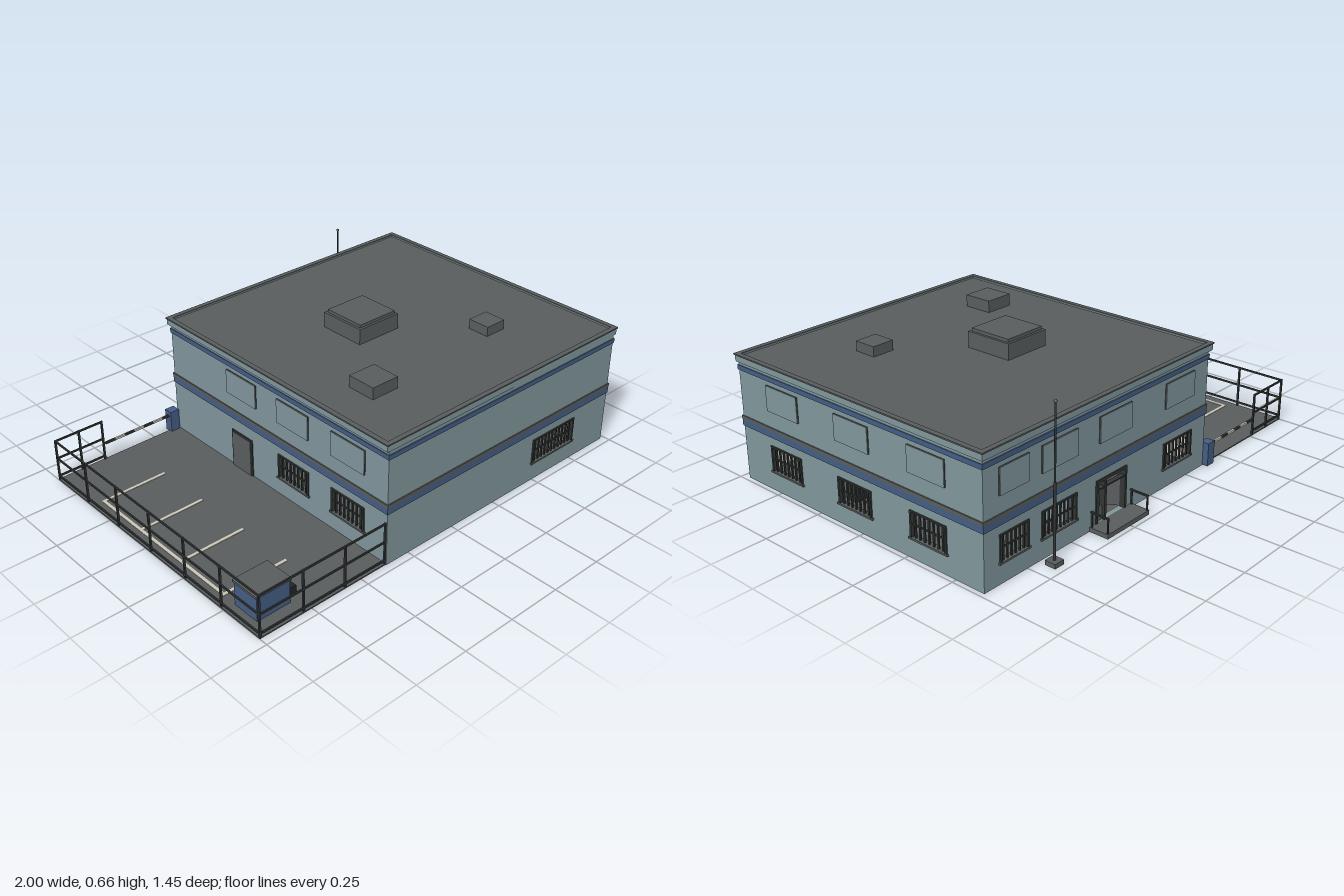
import * as THREE from 'three';

const mat = (name, color) => {
  const m = new THREE.MeshStandardMaterial({ color });
  m.name = name;
  return m;
};
const teal = mat('wall teal', 0x80969b);
const blue = mat('trim blue', 0x445d83);
const grey = mat('roof grey', 0x595d5d);
const dark = mat('metal dark', 0x343737);
const black = mat('bin black', 0x232425);
const cream = mat('paint cream', 0xcbc6b7);

// Box given by its minimum and maximum corners
function box(parent, name, m, x0, x1, y0, y1, z0, z1) {
  const mesh = new THREE.Mesh(new THREE.BoxGeometry(x1 - x0, y1 - y0, z1 - z0), m);
  mesh.position.set((x0 + x1) / 2, (y0 + y1) / 2, (z0 + z1) / 2);
  mesh.name = name;
  parent.add(mesh);
  return mesh;
}

function cylinder(parent, name, m, r, h, x, y, z) {
  const mesh = new THREE.Mesh(new THREE.CylinderGeometry(r, r, h, 10), m);
  mesh.position.set(x, y, z);
  mesh.name = name;
  parent.add(mesh);
  return mesh;
}

function group(parent, name) {
  const g = new THREE.Group();
  g.name = name;
  parent.add(g);
  return g;
}

// Upright plate with rectangular openings [u0, u1, y0, y1]
function pierced(parent, name, m, len, y0, y1, holes, depth, z) {
  const rect = (P, a, b, c, d) =>
    new P([[a, c], [b, c], [b, d], [a, d]].map(p => new THREE.Vector2(...p)));
  const shape = rect(THREE.Shape, -len / 2, len / 2, y0, y1);
  shape.holes = holes.map(h => rect(THREE.Path, ...h));
  const mesh = new THREE.Mesh(new THREE.ExtrudeGeometry(shape, { depth, bevelEnabled: false }), m);
  mesh.position.z = z;
  mesh.name = name;
  parent.add(mesh);
}

// Barred window on a wall whose outer face is z = 0
function barredWindow(parent, u0, u1) {
  const g = group(parent, 'barredWindow');
  const f = 0.009, y0 = 0.085, y1 = 0.205;
  for (const u of [u0, u1 - f]) box(g, 'windowJamb', dark, u, u + f, y0, y1, -0.02, 0.006);
  box(g, 'windowHead', dark, u0, u1, y1 - 0.007, y1, -0.02, 0.006);
  box(g, 'windowSill', grey, u0 - 0.006, u1 + 0.006, y0, y0 + 0.008, -0.02, 0.009);
  box(g, 'crossBar', dark, u0, u1, 0.142, 0.148, -0.008, -0.002);
  const n = Math.round((u1 - u0) / 0.023);
  for (let i = 1; i < n; i++) {
    const u = u0 + (u1 - u0) * i / n;
    box(g, 'windowBar', dark, u - 0.0035, u + 0.0035, y0, y1, -0.007, 0);
  }
}

// Blanked upper window: dark surround with a wall-coloured face
function blankPanel(parent, u0, u1) {
  box(parent, 'blankPanelEdge', dark, u0, u1, 0.36, 0.47, -0.01, 0.006);
  box(parent, 'blankPanelFace', teal, u0, u1, 0.36, 0.47, 0.006, 0.008);
}

// Post and rail fence between two points
function fence(parent, name, x0, z0, x1, z1, bays) {
  const g = group(parent, name), r = 0.004;
  for (let i = 0; i <= bays; i++) {
    const x = x0 + (x1 - x0) * i / bays, z = z0 + (z1 - z0) * i / bays;
    box(g, 'fencePost', dark, x - r, x + r, 0, 0.2, z - r, z + r);
  }
  for (const y of [0.022, 0.11, 0.196])
    box(g, 'fenceRail', dark, Math.min(x0, x1) - 0.003, Math.max(x0, x1) + 0.003, y - 0.004, y + 0.004,
      Math.min(z0, z1) - 0.003, Math.max(z0, z1) + 0.003);
}

export function createModel() {
  const model = new THREE.Group();
  model.name = 'walledStation';
  const X0 = -0.37, X1 = 0.98, Z0 = -0.64, Z1 = 0.715;
  const cx = (X0 + X1) / 2, cz = (Z0 + Z1) / 2, t = 0.02;

  // Ground
  box(model, 'yardGround', grey, -1, X0, 0, 0.006, Z0, 0.712);
  box(model, 'buildingFloor', grey, X0 + 0.002, X1 - 0.002, 0, 0.006, Z0 + 0.002, Z1 - 0.002);

  // Ground floor walls; each side lists windows as world coordinate pairs
  const sides = [
    { name: 'frontWall', turn: 0, len: X1 - X0, at: [cx, Z1], u: v => v - cx, win: [[0.485, 0.755]], panels: [] },
    { name: 'leftWall', turn: Math.PI / 2, len: Z1 - Z0 - 2 * t, at: [X1, cz], u: v => cz - v,
      win: [[0.35, 0.54], [-0.06, 0.13], [-0.46, -0.27]], panels: [[0.35, 0.54], [-0.06, 0.13], [-0.46, -0.27]] },
    { name: 'backWall', turn: Math.PI, len: X1 - X0, at: [cx, Z0], u: v => cx - v, door: [0.17, 0.36],
      win: [[0.745, 0.9], [0.475, 0.675], [-0.27, -0.075]],
      panels: [[0.745, 0.9], [0.475, 0.675], [0.15, 0.345], [-0.27, -0.075]] },
    { name: 'rightWall', turn: -Math.PI / 2, len: Z1 - Z0 - 2 * t, at: [X0, cz], u: v => v - cz,
      win: [[0.075, 0.265], [0.4, 0.59]], panels: [[-0.25, -0.06], [0.075, 0.265], [0.4, 0.59]] },
  ];
  for (const s of sides) {
    const g = group(model, s.name);
    g.position.set(s.at[0], 0, s.at[1]);
    g.rotation.y = s.turn;
    const span = p => p.map(s.u).sort((a, b) => a - b);
    const holes = s.win.map(w => [...span(w), 0.085, 0.205]);
    if (s.door) holes.push([...span(s.door), 0.02, 0.205]);
    pierced(g, 'wallOuter', teal, s.len, 0, 0.24, holes, t, -t);
    pierced(g, 'wallLining', cream, 1.31, 0.006, 0.236, holes, 0.003, -t - 0.003);
    s.win.forEach(w => barredWindow(g, ...span(w)));
    s.panels.forEach(p => blankPanel(g, ...span(p)));
    if (s.door) {
      // Glazed entrance with one leaf standing ajar
      const [a, b] = span(s.door), d = group(g, 'entrance');
      for (const u of [a, b - 0.012, a + 0.05]) box(d, 'doorJamb', dark, u, u + 0.012, 0.02, 0.205, -0.022, 0.006);
      box(d, 'doorHead', dark, a, b, 0.193, 0.205, -0.022, 0.006);
      box(d, 'doorTransom', dark, a, b, 0.16, 0.166, -0.018, 0.004);
      box(d, 'sideLightPanel', grey, a + 0.01, a + 0.052, 0.02, 0.08, -0.014, -0.006);
      const leaf = group(d, 'doorLeaf');
      leaf.position.set(b - 0.012, 0, -0.02);
      leaf.rotation.y = -1.0;
      box(leaf, 'doorLeafPanel', grey, -0.11, 0, 0.022, 0.16, -0.008, 0);
    }
  }

  // Upper storey with trim bands
  box(model, 'upperStorey', teal, X0, X1, 0.24, 0.535, Z0, Z1);
  box(model, 'ceiling', cream, X0 + t, X1 - t, 0.236, 0.24, Z0 + t, Z1 - t);
  const band = (name, m, y0, y1, o) => box(model, name, m, X0 - o, X1 + o, y0, y1, Z0 - o, Z1 + o);
  band('lowerBlueBand', blue, 0.242, 0.271, 0.004);
  band('greyBand', grey, 0.271, 0.287, 0.005);
  band('upperBlueBand', blue, 0.49, 0.511, 0.004);

  // Cornice, parapet coping and sunken roof
  box(model, 'cornice', teal, X0 - 0.01, X1 + 0.01, 0.527, 0.55, Z0 - 0.01, Z1 + 0.003);
  box(model, 'roofDeck', grey, X0 - 0.006, X1 + 0.006, 0.55, 0.552, Z0 - 0.006, Z1);
  const rx0 = -0.386, rx1 = 0.996, rz0 = -0.656, rz1 = 0.722, w = 0.022;
  for (const [name, m, y0, y1, i] of [['parapet', teal, 0.53, 0.556, 0.004], ['coping', dark, 0.556, 0.562, 0]]) {
    box(model, name, m === dark ? grey : m, rx0 + i, rx1 - i, y0, y1, rz0 + i, rz0 + w);
    box(model, name, m === dark ? grey : m, rx0 + i, rx1 - i, y0, y1, rz1 - w, rz1 - i);
    box(model, name, m === dark ? grey : m, rx0 + i, rx0 + w, y0, y1, rz0 + w, rz1 - w);
    box(model, name, m === dark ? grey : m, rx1 - w, rx1 - i, y0, y1, rz0 + w, rz1 - w);
  }

  // Roof units
  box(model, 'largeRoofUnit', grey, 0.08, 0.305, 0.55, 0.622, -0.142, 0.08);
  box(model, 'largeRoofUnitCap', grey, 0.092, 0.294, 0.622, 0.636, -0.131, 0.069);
  box(model, 'mediumRoofUnit', grey, -0.19, -0.055, 0.55, 0.605, 0.305, 0.44);
  box(model, 'smallRoofUnit', grey, 0.53, 0.635, 0.55, 0.596, 0.286, 0.39);

  // Furniture and partitions inside
  box(model, 'serviceCounter', dark, 0.46, 0.84, 0.006, 0.15, 0.2, 0.26);
  box(model, 'tallCabinet', dark, 0.4, 0.45, 0.006, 0.21, 0.32, 0.57);
  box(model, 'bluePartition', blue, 0.58, 0.61, 0.006, 0.187, -0.12, 0.19);
  box(model, 'tealPartition', teal, 0.42, 0.44, 0.006, 0.236, -0.6, -0.2);
  box(model, 'smallCabinet', dark, 0.5, 0.54, 0.006, 0.14, -0.38, -0.355);

  // Yard door
  box(model, 'yardDoorFrame', dark, X0 - 0.005, X0 + 0.005, 0.006, 0.185, -0.23, -0.095);
  box(model, 'yardDoor', grey, X0 - 0.008, X0, 0.006, 0.177, -0.221, -0.104);

  // Entrance porch with side rails
  const porch = group(model, 'porch');
  box(porch, 'porchStep', grey, 0.13, 0.393, 0, 0.02, -0.73, Z0);
  for (const x of [0.137, 0.386]) {
    for (const z of [-0.724, -0.647]) box(porch, 'porchPost', dark, x - 0.003, x + 0.003, 0.02, 0.085, z - 0.003, z + 0.003);
    box(porch, 'porchRail', dark, x - 0.004, x + 0.004, 0.08, 0.087, -0.728, Z0);
  }

  // Flagpole
  const pole = group(model, 'flagpole');
  box(pole, 'poleBase', grey, 0.64, 0.69, 0, 0.02, -0.72, -0.67);
  cylinder(pole, 'lowerPole', dark, 0.006, 0.32, 0.665, 0.18, -0.695);
  cylinder(pole, 'upperPole', dark, 0.004, 0.32, 0.665, 0.495, -0.695);
  const ball = new THREE.Mesh(new THREE.SphereGeometry(0.007, 12, 8), grey);
  ball.position.set(0.665, 0.656, -0.695);
  ball.name = 'poleFinial';
  pole.add(ball);

  // Fences around the yard
  fence(model, 'frontFence', -0.996, 0.708, -0.373, 0.708, 3);
  fence(model, 'sideFence', -0.996, -0.637, -0.996, 0.708, 6);
  fence(model, 'backFence', -0.996, -0.637, -0.768, -0.637, 2);

  // Striped barrier
  const barrier = group(model, 'barrier');
  box(barrier, 'barrierHousing', blue, -0.42, -0.375, 0, 0.105, -0.664, -0.622);
  for (let i = 0; i < 7; i++) {
    const x = -0.757 + i * 0.05;
    box(barrier, 'barrierStripe', i % 2 ? cream : dark, x, x + 0.05, 0.077, 0.087, -0.644, -0.635);
  }

  // Parking bay lines
  box(model, 'bayLine', cream, -0.956, -0.942, 0.005, 0.008, -0.377, 0.443);
  for (const z of [-0.37, -0.104, 0.168, 0.436])
    box(model, 'bayLine', cream, -0.942, -0.64, 0.005, 0.008, z - 0.007, z + 0.007);

  // Waste container and bins
  box(model, 'wasteContainer', blue, -0.952, -0.793, 0, 0.114, 0.508, 0.638);
  box(model, 'containerLid', grey, -0.957, -0.788, 0.114, 0.124, 0.503, 0.643);
  box(model, 'smallBin', black, -0.772, -0.728, 0, 0.046, 0.51, 0.553);
  box(model, 'smallBin', black, -0.783, -0.739, 0, 0.042, 0.565, 0.61);

  return model;
}
